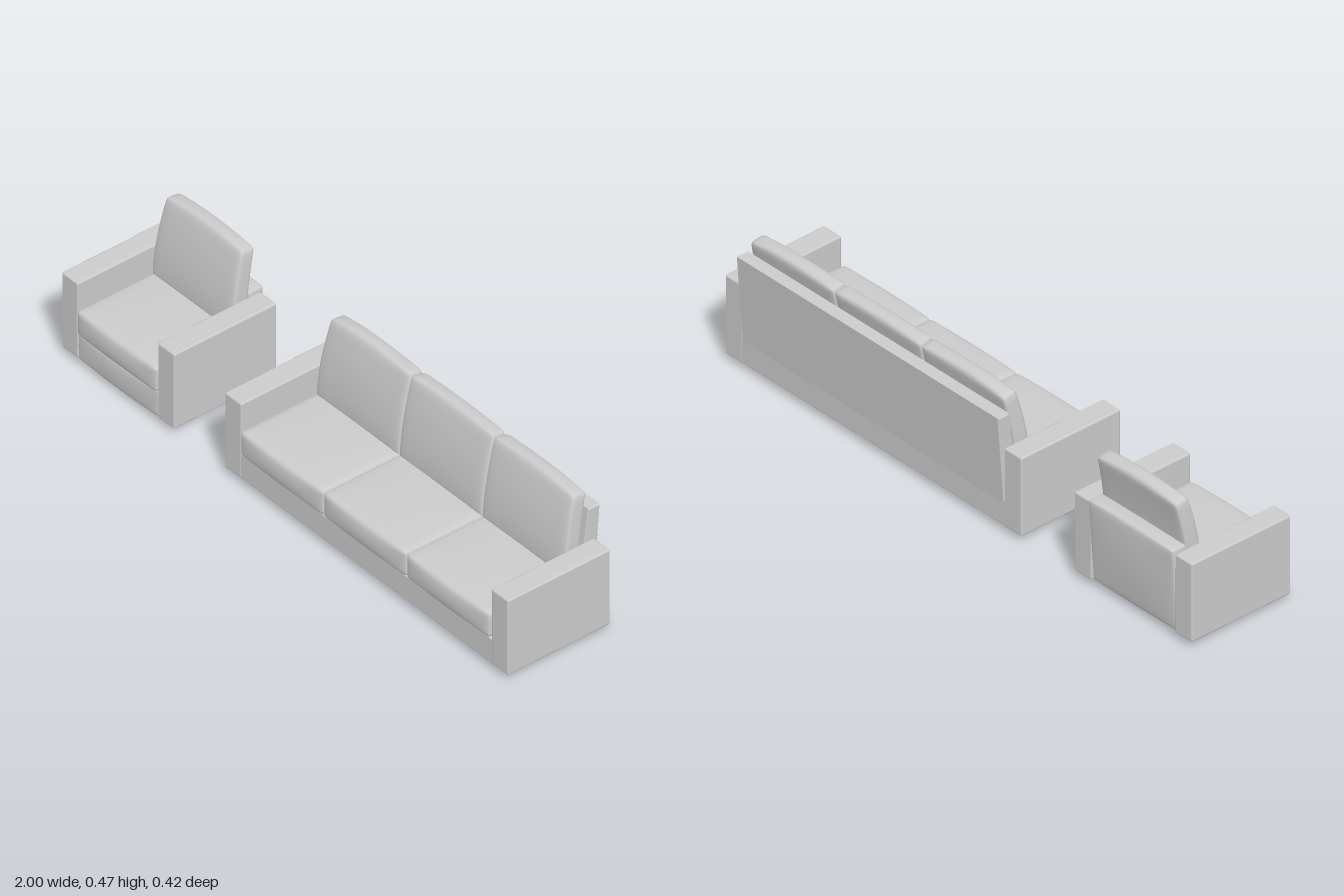
import * as THREE from 'three';
import { mergeVertices } from 'three/addons/utils/BufferGeometryUtils.js';
import { RoundedBoxGeometry } from 'three/addons/geometries/RoundedBoxGeometry.js';

const material = new THREE.MeshStandardMaterial({ color: 0xcccccc });

function addMesh(parent, name, geometry) {
  const mesh = new THREE.Mesh(geometry, material);
  mesh.name = name;
  parent.add(mesh);
  return mesh;
}

// Box between two corners with softly rounded edges
function block(parent, name, [x0, y0, z0], [x1, y1, z1], radius = 0.006) {
  const geometry = new RoundedBoxGeometry(x1 - x0, y1 - y0, z1 - z0, 2, radius);
  geometry.translate((x0 + x1) / 2, (y0 + y1) / 2, (z0 + z1) / 2);
  return addMesh(parent, name, geometry);
}

// Upholstered box: rounded edges, domed faces, then an optional extra bend
// bulge = { top, bottom, front, back }
function cushion(parent, name, [x0, y0, z0], [x1, y1, z1], radius, bulge, bend) {
  const half = new THREE.Vector3(x1 - x0, y1 - y0, z1 - z0).multiplyScalar(0.5);
  const centre = new THREE.Vector3(x0 + x1, y0 + y1, z0 + z1).multiplyScalar(0.5);
  let geometry = new THREE.BoxGeometry(2, 2, 2, 14, 14, 14);
  geometry.deleteAttribute('uv');
  geometry.deleteAttribute('normal');
  geometry = mergeVertices(geometry);
  const pos = geometry.attributes.position;
  const p = new THREE.Vector3(), core = new THREE.Vector3();
  const limit = half.clone().subScalar(radius), negative = limit.clone().negate();
  const ease = (t) => Math.sin(t * Math.PI / 2);
  for (let i = 0; i < pos.count; i++) {
    const u = ease(pos.getX(i)), v = ease(pos.getY(i)), w = ease(pos.getZ(i));
    p.set(u, v, w).multiply(half);
    core.copy(p).clamp(negative, limit);
    p.sub(core);
    if (p.lengthSq() > 0) p.setLength(Math.min(radius, Math.max(Math.abs(p.x), Math.abs(p.y), Math.abs(p.z))));
    p.add(core);
    const domeY = (1 - u * u) * (1 - w * w * 0.7), domeZ = (1 - u * u) * (1 - v * v);
    p.y += v > 0 ? v * domeY * (bulge.top || 0) : v * domeY * (bulge.bottom || 0);
    p.z += w > 0 ? w * domeZ * (bulge.front || 0) : w * domeZ * (bulge.back || 0);
    p.add(centre);
    if (bend) bend(p, u, v, w);
    pos.setXYZ(i, p.x, p.y, p.z);
  }
  geometry.computeVertexNormals();
  return addMesh(parent, name, geometry);
}

function seatCushion(parent, x0, x1) {
  cushion(parent, 'seatCushion', [x0, 0.108, -0.11], [x1, 0.198, 0.201], 0.014,
    { top: 0.006, front: 0.009 });
}

// Back cushion leaning rearwards; taper narrows the left (+x) and right (-x) upper corners
function backCushion(parent, x0, x1, taperRight, taperLeft) {
  cushion(parent, 'backCushion', [x0, 0.18, -0.03], [x1, 0.458, 0.03], 0.014,
    { top: 0.008, front: 0.005, back: 0.002 }, (p, u, v, w) => {
      const t = Math.max(0, (p.y - 0.2) / 0.265);
      const taper = u < 0 ? taperRight : taperLeft;
      p.x -= u * taper * t * t;
      p.y -= taper * u * u * Math.max(0, v) * 0.5;
      p.z = p.z * (1 - 0.12 * t) - 0.108 - 0.044 * Math.pow(t, 1.6);
      p.y += w * 0.004 * t;
    });
}

function arms(parent, outerRight, innerRight, innerLeft, outerLeft) {
  block(parent, 'rightArm', [outerRight, 0.022, -0.185], [innerRight, 0.291, 0.195]);
  block(parent, 'leftArm', [innerLeft, 0.022, -0.185], [outerLeft, 0.291, 0.195]);
}

function createSofa() {
  const sofa = new THREE.Group();
  sofa.name = 'sofa';
  arms(sofa, -0.27, -0.195, 0.925, 1.0);
  block(sofa, 'base', [-0.205, 0.022, -0.184], [0.935, 0.11, 0.194], 0.004);

  // Leaning back panel
  const profile = new THREE.Shape([
    [0.165, 0.4], [0.208, 0.4], [0.185, 0.1], [0.125, 0.1],
  ].map(([z, y]) => new THREE.Vector2(z, y)));
  const panel = new THREE.ExtrudeGeometry(profile, {
    depth: 1.116, bevelThickness: 0.003, bevelSize: 0.003, bevelOffset: -0.003, bevelSegments: 1,
  });
  panel.rotateY(Math.PI / 2);
  panel.translate(-0.193, 0, 0);
  addMesh(sofa, 'backPanel', panel);

  const width = 0.3717, start = -0.195;
  for (let i = 0; i < 3; i++) {
    const x0 = start + i * width, x1 = x0 + width;
    seatCushion(sofa, x0, x1);
    backCushion(sofa, x0, x1, i === 0 ? 0.015 : 0.002, i === 2 ? 0.015 : 0.002);
  }
  return sofa;
}

function createArmchair() {
  const chair = new THREE.Group();
  chair.name = 'armchair';
  arms(chair, -1.0, -0.927, -0.57, -0.495);
  // Padded base with a sagging underside
  cushion(chair, 'base', [-0.93, 0.02, -0.1], [-0.567, 0.115, 0.194], 0.01,
    { bottom: 0.02, front: 0.006 });
  // Padded rear panel, leaning slightly
  cushion(chair, 'rearPanel', [-0.93, 0.02, -0.178], [-0.567, 0.305, -0.12], 0.01,
    { top: 0.006, bottom: 0.006, back: 0.008 }, (p) => {
      p.z -= 0.02 * Math.max(0, (p.y - 0.02) / 0.285);
    });
  seatCushion(chair, -0.927, -0.57);
  backCushion(chair, -0.93, -0.567, 0.012, 0.012);
  return chair;
}

export function createModel() {
  const model = new THREE.Group();
  model.name = 'livingRoomSet';
  model.add(createSofa(), createArmchair());
  return model;
}
